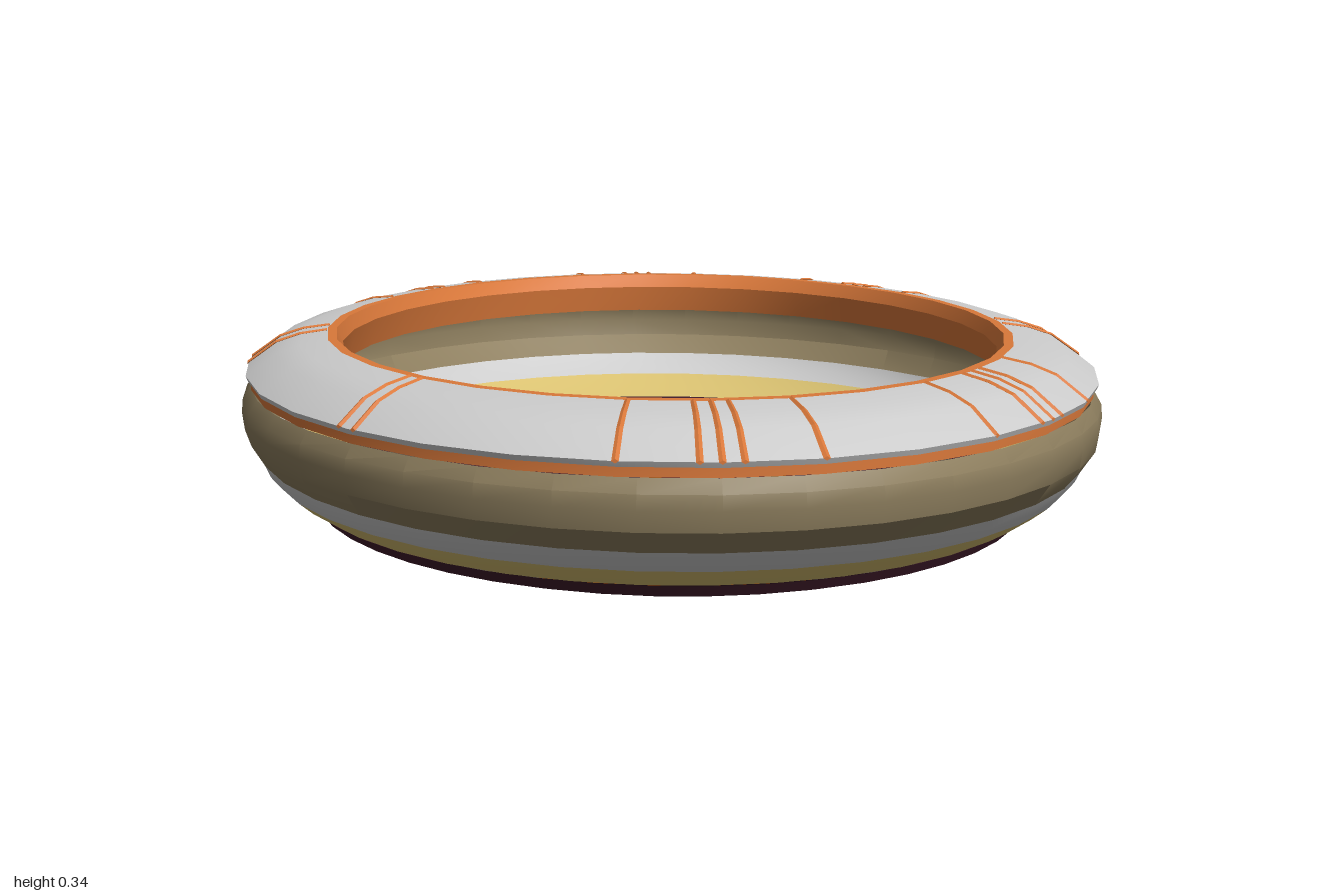
import * as THREE from 'three';
import { toCreasedNormals } from 'three/addons/utils/BufferGeometryUtils.js';

const GREY = 0xcccccc, ORANGE = 0xd9783a, RUST = 0x8a480c, PLUM = 0x3d1a28;
const TAN = 0x8d7e5e, SAND = 0xd8c070, STONE = 0x544b43;

// Point on an ellipse; angle runs from +z toward +x
const onEllipse = ([rx, rz, y], t) => new THREE.Vector3(rx * Math.sin(t), y, rz * Math.cos(t));

function meshFrom(name, color, pos, index, crease) {
  const g = new THREE.BufferGeometry();
  g.setAttribute('position', new THREE.Float32BufferAttribute(pos, 3));
  g.setIndex(index);
  const mat = new THREE.MeshStandardMaterial({ color, side: THREE.DoubleSide });
  const mesh = new THREE.Mesh(toCreasedNormals(g, crease), mat);
  mesh.name = name;
  return mesh;
}

// Elliptical band swept through a profile of [x radius, z radius, y]
function band(name, color, profile, segs = 32) {
  const pos = [], index = [];
  profile.forEach((p) => {
    for (let i = 0; i < segs; i++) pos.push(...onEllipse(p, (i / segs) * Math.PI * 2).toArray());
  });
  for (let r = 0; r < profile.length - 1; r++) {
    for (let i = 0; i < segs; i++) {
      const a = r * segs + i, b = r * segs + ((i + 1) % segs);
      index.push(a, a + segs, b, b, a + segs, b + segs);
    }
  }
  return meshFrom(name, color, pos, index, 0.5);
}

// Ridge with a diamond section, following a profile at one angle
function ridge(name, color, profile, t, w0, w1, height) {
  const pos = [], index = [], n = profile.length;
  const dir = onEllipse(profile[0], t).sub(onEllipse(profile[n - 1], t)).setY(0).normalize();
  const side = new THREE.Vector3(dir.z, 0, -dir.x);
  profile.forEach((p, i) => {
    const c = onEllipse(p, t), w = w0 + (w1 - w0) * i / (n - 1);
    for (const [s, u] of [[-w, 0], [0, height], [w, 0], [0, -height]]) {
      pos.push(c.x + side.x * s, c.y + u, c.z + side.z * s);
    }
  });
  for (let r = 0; r < n - 1; r++) {
    for (let k = 0; k < 4; k++) {
      const a = r * 4 + k, b = r * 4 + (k + 1) % 4;
      index.push(a, a + 4, b, b, a + 4, b + 4);
    }
  }
  const e = (n - 1) * 4;
  index.push(0, 1, 2, 0, 2, 3, e, e + 2, e + 1, e, e + 3, e + 2);
  return meshFrom(name, color, pos, index, 0.1);
}

export function createModel() {
  const model = new THREE.Group();
  model.name = 'ovalDish';

  // Rim: convex cap over a trim ring that shows at both edges
  const cap = [[0.705, 0.993, 0.272], [0.708, 0.997, 0.28], [0.66, 0.94, 0.314], [0.62, 0.89, 0.327], [0.575, 0.825, 0.333]];
  model.add(band('rimCap', GREY, cap));
  model.add(band('rimTrim', ORANGE, [
    [0.705, 0.993, 0.275], [0.7, 0.985, 0.272], [0.7, 0.985, 0.257], [0.56, 0.79, 0.262],
    [0.55, 0.782, 0.31], [0.56, 0.802, 0.333], [0.575, 0.825, 0.333],
  ]));

  // Thin-walled bowl, from the widest bulge down
  model.add(band('upperWall', TAN, [
    [0.7, 0.985, 0.257], [0.713, 0.998, 0.237], [0.715, 1, 0.215], [0.711, 0.993, 0.185], [0.69, 0.955, 0.15],
  ], 40));
  model.add(band('middleWall', GREY, [[0.69, 0.955, 0.15], [0.683, 0.935, 0.132], [0.668, 0.905, 0.113]], 40));
  model.add(band('lowerWall', SAND, [[0.668, 0.905, 0.113], [0.645, 0.87, 0.093], [0.62, 0.83, 0.076]], 40));
  model.add(band('footStep', PLUM, [
    [0.62, 0.83, 0.076], [0.605, 0.81, 0.07], [0.598, 0.8, 0.054], [0.57, 0.775, 0.047],
  ], 48));
  model.add(band('floorBorder', STONE, [[0.57, 0.775, 0.047], [0.53, 0.73, 0.043], [0.495, 0.69, 0.038]], 48));
  model.add(band('floorRing', RUST, [[0.495, 0.69, 0.038], [0.48, 0.62, 0.03]], 64));

  // Shallow floor with an open centre
  const floor = [[0.48, 0.62, 0.03], [0.4, 0.5, 0.018], [0.3, 0.37, 0.009], [0.18, 0.23, 0.005], [0.042, 0.055, 0.004]];
  model.add(band('floor', PLUM, floor, 64));

  // Eight tapered spokes
  const spokes = new THREE.Group();
  spokes.name = 'spokes';
  for (let i = 0; i < 8; i++) {
    spokes.add(ridge('spoke', RUST, floor, i * Math.PI / 4, 0.025, 0.005, 0.004));
  }
  model.add(spokes);

  // Fine ribs across the rim cap
  const ribs = new THREE.Group();
  ribs.name = 'rimRibs';
  const angles = [0, 180, 43, 45.5, 48, -44, -46.5, 132, 134.5, 137, -134, -137, 34, 57.5];
  for (const s of [-1, 1]) angles.push(...[2.4, 11.3, 87.7, 92.3, 122.5, 146, 168.7, 177.6].map((d) => d * s));
  for (const d of angles) {
    ribs.add(ridge('rimRib', ORANGE, cap.slice(1), THREE.MathUtils.degToRad(d), 0.005, 0.004, 0.003));
  }
  model.add(ribs);
  return model;
}
